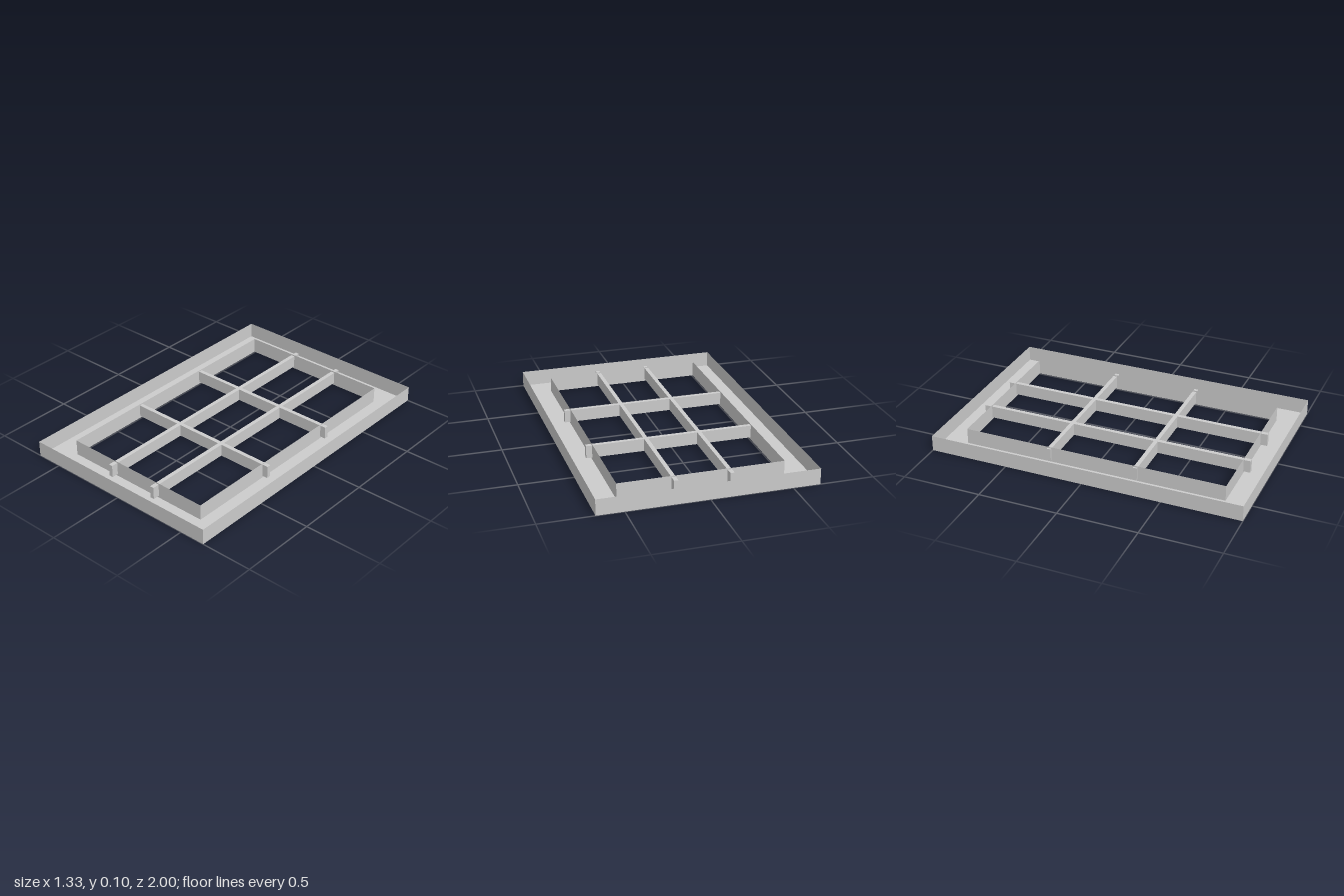
import * as THREE from 'three';

const H = 0.1;                       // frame height
const OX = 0.667, OZ = 1;            // outer half sizes
const IX = 0.506, IZ = 0.843;        // opening half sizes
const BAR = 0.026, BAR_Y0 = 0.013, BAR_Y1 = 0.092;

export function createModel() {
  const model = new THREE.Group();
  const solid = new THREE.MeshStandardMaterial({ color: 0xcccccc, flatShading: true });
  const sheet = new THREE.MeshStandardMaterial({ color: 0xcccccc, flatShading: true, side: THREE.DoubleSide });

  const add = (parent, name, geometry, material, x, y, z) => {
    const mesh = new THREE.Mesh(geometry, material);
    mesh.name = name;
    mesh.position.set(x, y, z);
    parent.add(mesh);
    return mesh;
  };

  // Flat base of the frame channel, with the window opening cut out
  const rect = (Type, x, z) => new Type([[-x, -z], [x, -z], [x, z], [-x, z]].map(p => new THREE.Vector2(...p)));
  const base = rect(THREE.Shape, OX, OZ);
  base.holes.push(rect(THREE.Path, IX, IZ));
  add(model, 'frameBase', new THREE.ShapeGeometry(base).rotateX(Math.PI / 2), sheet, 0, 0, 0);

  // Thin upright walls around the outside and around the opening; the channel is open on top
  const addWalls = (name, hx, hz) => {
    const walls = new THREE.Group();
    walls.name = name;
    for (const s of [-1, 1]) {
      const across = add(walls, s > 0 ? 'frontWall' : 'backWall', new THREE.PlaneGeometry(2 * hx, H), sheet, 0, H / 2, s * hz);
      across.rotation.y = s > 0 ? 0 : Math.PI;
      const along = add(walls, s > 0 ? 'leftWall' : 'rightWall', new THREE.PlaneGeometry(2 * hz, H), sheet, s * hx, H / 2, 0);
      along.rotation.y = s * Math.PI / 2;
    }
    model.add(walls);
  };
  addWalls('outerWalls', OX, OZ);
  addWalls('openingWalls', IX, IZ);

  // Glazing bars divide the opening in thirds, their ends passing through the opening walls
  const barH = BAR_Y1 - BAR_Y0, barY = (BAR_Y0 + BAR_Y1) / 2;
  const [x0, x1, z0, z1] = [-0.517, 0.543, -0.891, 0.886];
  for (const s of [-1, 1]) {
    add(model, 'longBar', new THREE.BoxGeometry(BAR, barH, z1 - z0), solid, s * IX / 3, barY, (z0 + z1) / 2);
    add(model, 'crossBar', new THREE.BoxGeometry(x1 - x0, barH, BAR), solid, (x0 + x1) / 2, barY, s * IZ / 3);
  }
  return model;
}
